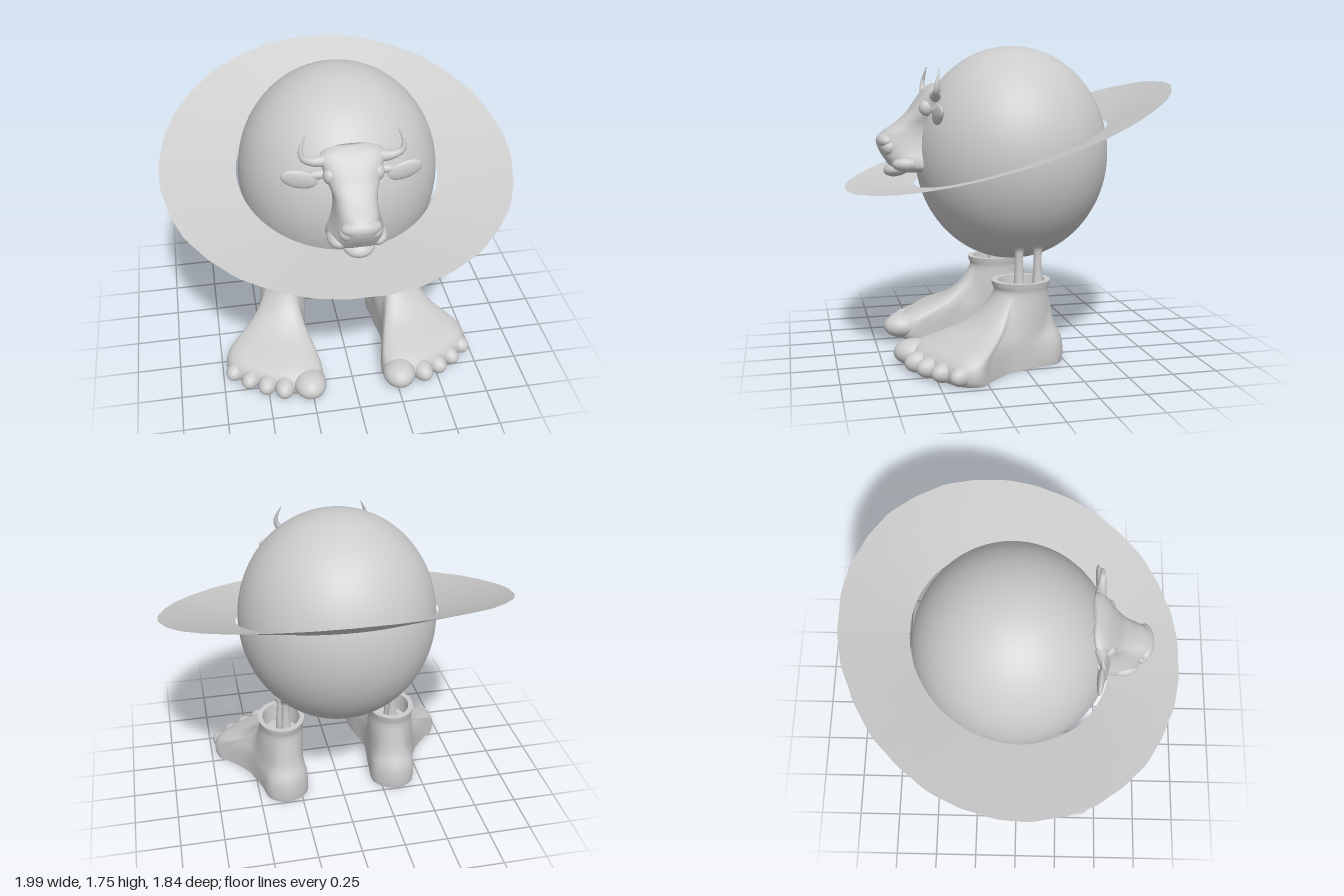
import * as THREE from 'three';
import { toCreasedNormals } from 'three/addons/utils/BufferGeometryUtils.js';

const grey = new THREE.MeshStandardMaterial({ color: 0xcccccc });
const thin = new THREE.MeshStandardMaterial({ color: 0xcccccc, side: THREE.DoubleSide });

function add(parent, name, geometry, material = grey) {
  const mesh = new THREE.Mesh(geometry, material);
  mesh.name = name;
  parent.add(mesh);
  return mesh;
}

// Skin over closed rings of points, each [x, y, z]
function loft(rings, crease = 1) {
  const n = rings[0].length;
  const index = [];
  for (let i = 0; i < rings.length - 1; i++) {
    for (let j = 0; j < n; j++) {
      const a = i * n + j, b = i * n + (j + 1) % n;
      index.push(a, a + n, b, b, a + n, b + n);
    }
  }
  const geometry = new THREE.BufferGeometry();
  geometry.setAttribute('position', new THREE.Float32BufferAttribute(rings.flat(2), 3));
  geometry.setIndex(index);
  return toCreasedNormals(geometry, crease);
}

// Smooth interpolation down a table of rows
function sampleRows(rows, count) {
  const columns = rows[0].map((_, c) =>
    new THREE.SplineCurve(rows.map((r, i) => new THREE.Vector2(i, r[c]))));
  return Array.from({ length: count + 1 }, (_, i) => columns.map(c => c.getPoint(i / count).y));
}

function ellipsoid(parent, name, centre, radii, tilt = [0, 0, 0]) {
  const mesh = add(parent, name, new THREE.SphereGeometry(1, 28, 20));
  mesh.position.set(...centre);
  mesh.scale.set(...radii);
  mesh.rotation.set(...tilt);
  return mesh;
}

// Tube whose radius shrinks towards its tip
function taperedTube(points, radius, tip) {
  const curve = new THREE.CatmullRomCurve3(points.map(p => new THREE.Vector3(...p)));
  const steps = 28, sides = 16;
  const geometry = new THREE.TubeGeometry(curve, steps, 1, sides);
  const pos = geometry.attributes.position, v = new THREE.Vector3();
  for (let k = 0; k < pos.count; k++) {
    const t = Math.floor(k / (sides + 1)) / steps;
    const c = curve.getPointAt(t);
    v.fromBufferAttribute(pos, k).sub(c).multiplyScalar(THREE.MathUtils.lerp(radius, tip, t ** 0.8)).add(c);
    pos.setXYZ(k, v.x, v.y, v.z);
  }
  geometry.computeVertexNormals();
  return geometry;
}

// Tilted dish around the body with a slightly ragged rim
function ringGeometry() {
  const geometry = new THREE.RingGeometry(0, 1, 160, 8);
  const pos = geometry.attributes.position;
  for (let k = 0; k < pos.count; k++) {
    const row = Math.floor(k / 161), t = row / 8;
    const a = (k % 161) / 160 * Math.PI * 2;
    const ragged = 0.994 + 0.004 * Math.sin(a * 23) * Math.sin(a * 9);
    const xi = 0.572 * Math.cos(a), zi = 0.555 * Math.sin(a) - 0.03;
    const xo = ragged * Math.cos(a), zo = 0.93 * ragged * Math.sin(a) - 0.005;
    const yi = 1.135 - 0.32 * zi, yo = 1.2 - 0.317 * zo + 0.06 * zo * zo;
    pos.setXYZ(k, xi + (xo - xi) * t, yi + (yo - yi) * t, zi + (zo - zi) * t);
  }
  geometry.computeVertexNormals();
  return geometry;
}

// Foot: footprint morphing upward into a hollow ankle cuff
function footGeometry() {
  const outline = new THREE.CatmullRomCurve3([
    [0.33, -0.25], [0.44, -0.2], [0.48, -0.06], [0.54, 0.1], [0.64, 0.22], [0.72, 0.3], [0.7, 0.4], [0.6, 0.48],
    [0.48, 0.55], [0.36, 0.6], [0.24, 0.61], [0.18, 0.54], [0.195, 0.4], [0.235, 0.22], [0.215, 0.02], [0.21, -0.17],
  ].map(([x, z]) => new THREE.Vector3(x, 0, z)), true);
  const print = outline.getPoints(72).slice(0, 72);
  // y, morph to ankle, ankle scale
  const levels = sampleRows([
    [0, 0.05, 1], [0.03, 0, 1], [0.08, 0, 1], [0.13, 0.09, 1], [0.17, 0.3, 1], [0.21, 0.55, 1],
    [0.26, 0.74, 1], [0.33, 0.9, 0.99], [0.41, 1, 0.96], [0.445, 1, 1], [0.47, 1, 1.03],
  ], 30);
  levels.push([0.47, 1, 0.82], [0.36, 1, 0.76], [0.36, 1, 0]);
  const rings = levels.map(([y, t, s]) => print.map(p => {
    const a = Math.atan2(p.z - 0.08, p.x - 0.37);
    const ax = 0.337 + 0.135 * s * Math.cos(a), az = -0.01 + 0.16 * s * Math.sin(a);
    return [p.x + (ax - p.x) * t, y, p.z + (az - p.z) * t];
  }));
  rings.unshift(print.map(() => [0.37, 0, 0.1]));
  return loft(rings, 0.9);
}

function buildLeg() {
  const leg = new THREE.Group();
  add(leg, 'foot', footGeometry());
  ellipsoid(leg, 'bigToe', [0.263, 0.075, 0.585], [0.094, 0.072, 0.108], [0, -0.05, 0]);
  // Smaller toes fan outwards along the front of the foot
  [[0.405, 0.57, 0.058], [0.5, 0.525, 0.055], [0.59, 0.465, 0.053], [0.67, 0.385, 0.054]].forEach(([x, z, r], i) =>
    ellipsoid(leg, 'smallToe', [x, r + 0.002, z], [r, r, r * 1.45], [0, 0.25 + i * 0.12, 0]));
  // Two slender shins flaring into body and ankle
  const profile = new THREE.SplineCurve([
    [0.034, 0.35], [0.03, 0.44], [0.024, 0.52], [0.023, 0.6], [0.03, 0.64], [0.06, 0.675],
  ].map(p => new THREE.Vector2(...p))).getPoints(24);
  for (const [x, z] of [[0.335, 0], [0.322, -0.11]]) {
    add(leg, 'shin', new THREE.LatheGeometry(profile, 20), thin).position.set(x, 0, z);
  }
  return leg;
}

function buildHead() {
  const head = new THREE.Group();
  head.name = 'head';
  // y, half width, front z, back z
  const rows = sampleRows([
    [1.05, 0.1, 0.6, 0.45], [1.075, 0.15, 0.66, 0.42], [1.12, 0.152, 0.695, 0.4], [1.17, 0.135, 0.725, 0.4],
    [1.22, 0.122, 0.74, 0.4], [1.27, 0.115, 0.715, 0.4], [1.32, 0.118, 0.64, 0.4], [1.38, 0.14, 0.57, 0.39],
    [1.44, 0.158, 0.525, 0.39], [1.49, 0.168, 0.485, 0.39], [1.52, 0.145, 0.455, 0.385], [1.54, 0.08, 0.425, 0.39],
  ], 44);
  const rings = rows.map(([y, w, zf, zb]) => Array.from({ length: 48 }, (_, j) => {
    const a = j / 48 * Math.PI * 2, c = Math.cos(a), s = Math.sin(a);
    const mid = zb + (zf - zb) * 0.3;
    return [w * Math.sign(c) * Math.abs(c) ** 0.75, y,
      mid + (s > 0 ? zf - mid : mid - zb) * Math.sign(s) * Math.abs(s) ** 0.85];
  }));
  rings.unshift(rings[0].map(() => [0, 1.045, 0.52]));
  rings.push(rings[0].map(() => [0, 1.542, 0.41]));
  add(head, 'skull', loft(rings, 1.2));
  ellipsoid(head, 'lowerLip', [0, 1.07, 0.625], [0.085, 0.045, 0.08], [0.25, 0, 0]);
  ellipsoid(head, 'nosePad', [0, 1.225, 0.69], [0.105, 0.048, 0.052]);
  for (const side of [1, -1]) {
    const half = new THREE.Group();
    half.name = side > 0 ? 'leftHeadSide' : 'rightHeadSide';
    half.scale.x = side;
    ellipsoid(half, 'nostril', [0.065, 1.19, 0.675], [0.048, 0.045, 0.042]);
    ellipsoid(half, 'cheek', [0.1, 1.1, 0.58], [0.06, 0.045, 0.085]);
    ellipsoid(half, 'brow', [0.125, 1.41, 0.475], [0.035, 0.045, 0.04]);
    ellipsoid(half, 'ear', [0.275, 1.38, 0.435], [0.1, 0.052, 0.02], [0, 0.1, 0.25]);
    ellipsoid(half, 'earRoot', [0.175, 1.395, 0.43], [0.06, 0.025, 0.025]);
    add(half, 'horn', taperedTube([
      [0.13, 1.475, 0.425], [0.2, 1.478, 0.435], [0.255, 1.505, 0.44], [0.266, 1.55, 0.435], [0.235, 1.63, 0.418],
    ], 0.038, 0.002));
    head.add(half);
  }
  return head;
}

export function createModel() {
  const model = new THREE.Group();
  const body = add(model, 'body', new THREE.SphereGeometry(1, 80, 56));
  body.scale.set(0.56, 0.61, 0.555);
  body.position.set(0, 1.14, -0.035);
  add(model, 'ring', ringGeometry(), thin);
  model.add(buildHead());
  for (const side of [1, -1]) {
    const leg = buildLeg();
    leg.name = side > 0 ? 'leftLeg' : 'rightLeg';
    leg.scale.x = side;
    model.add(leg);
  }
  return model;
}
